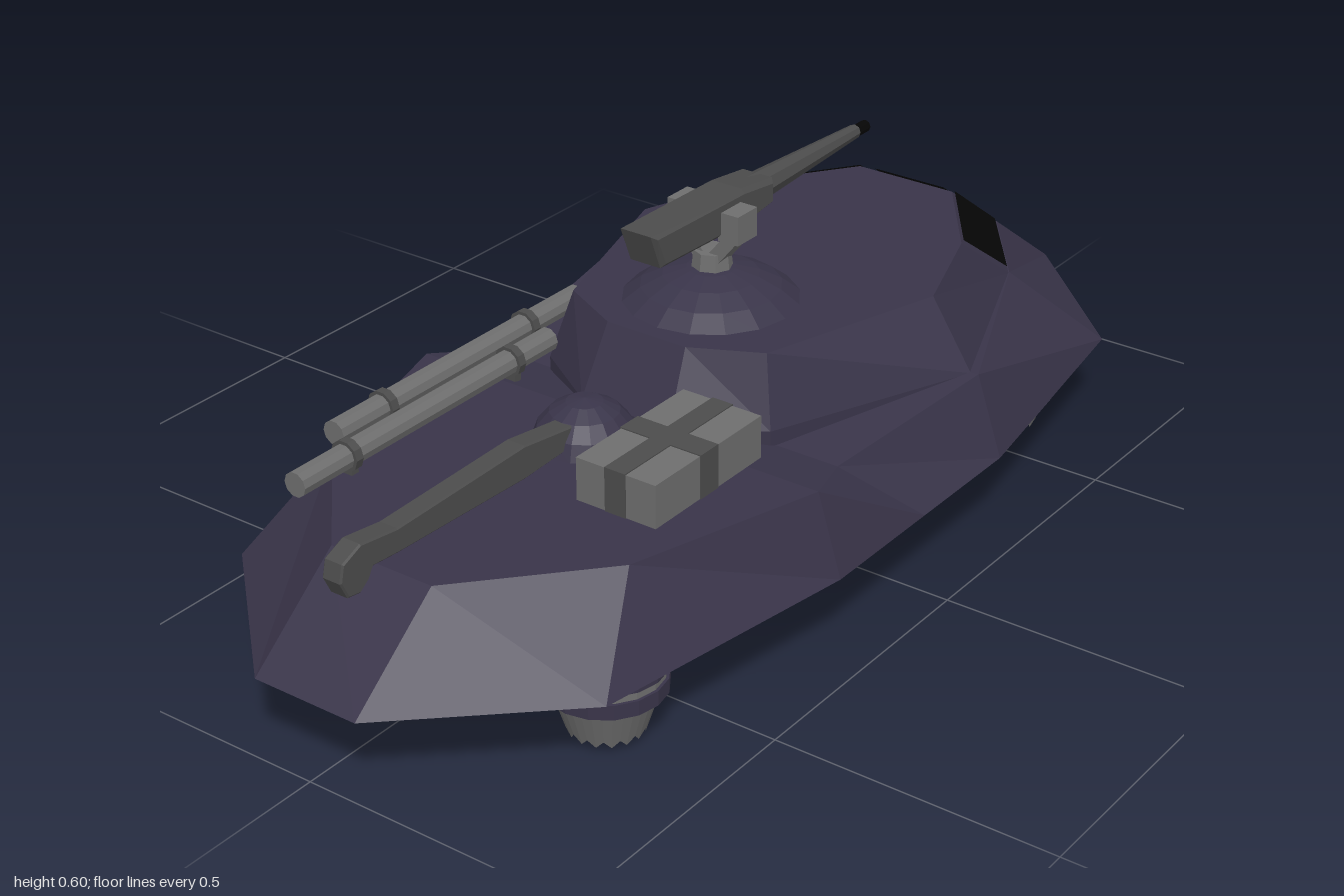
import * as THREE from 'three';

const mat = (color, extra = {}) => new THREE.MeshStandardMaterial({ color, flatShading: true, ...extra });
const PURPLE = mat(0x393449), GREY = mat(0x6e6e6e), DARK = mat(0x4c4c4c), BLACK = mat(0x060606);
const GLASS = mat(0x060606, { side: THREE.DoubleSide });
const OPEN_GREY = mat(0x6e6e6e, { side: THREE.DoubleSide });

function add(parent, name, geometry, material, x = 0, y = 0, z = 0) {
  const mesh = new THREE.Mesh(geometry, material);
  mesh.name = name;
  mesh.position.set(x, y, z);
  parent.add(mesh);
  return mesh;
}

const box = (w, h, d) => new THREE.BoxGeometry(w, h, d);

// Closed skin through rings; each ring is its +z half, from +x to -x
function loft(halves) {
  const pos = [], index = [];
  const n = halves[0].length, m = n * 2;
  for (const half of halves) {
    const mirrored = half.map(([x, y, z]) => [x, y, -z]).reverse();
    for (const p of [...half, ...mirrored]) pos.push(...p);
  }
  for (let r = 0; r < halves.length - 1; r++)
    for (let i = 0; i < m; i++) {
      const a = r * m + i, b = r * m + (i + 1) % m;
      index.push(a, a + m, b + m, a, b + m, b);
    }
  const top = (halves.length - 1) * m;
  for (let i = 0; i < n - 1; i++) {
    const p = i, q = i + 1, mp = m - 1 - i, mq = m - 2 - i;
    index.push(top + p, top + mp, top + mq, top + p, top + mq, top + q);
    index.push(p, mq, mp, p, q, mq);
  }
  const g = new THREE.BufferGeometry();
  g.setAttribute('position', new THREE.Float32BufferAttribute(pos, 3));
  g.setIndex(index);
  g.computeVertexNormals();
  return g;
}

// Flat four-cornered panel
function panel(a, b, c, d) {
  const g = new THREE.BufferGeometry();
  g.setAttribute('position', new THREE.Float32BufferAttribute([...a, ...b, ...c, ...d], 3));
  g.setIndex([0, 1, 2, 0, 2, 3]);
  g.computeVertexNormals();
  return g;
}

// Side profile in x and y, given a thickness along z
function slab(points, depth, bevel) {
  const shape = new THREE.Shape(points.map(([x, y]) => new THREE.Vector2(x, y)));
  const g = new THREE.ExtrudeGeometry(shape, {
    depth: depth - 2 * bevel, bevelEnabled: true, bevelSize: bevel,
    bevelOffset: -bevel, bevelThickness: bevel, bevelSegments: 1,
  });
  return g.translate(0, 0, -depth / 2 + bevel);
}

// Cylinder along x, from x0 to x1
function rod(x0, x1, r0, r1, sides = 8) {
  const g = new THREE.CylinderGeometry(r1, r0, x1 - x0, sides);
  return g.rotateZ(-Math.PI / 2).translate((x0 + x1) / 2, 0, 0);
}

// Cap of a sphere with base radius r and height h, standing on its base
function dome(r, h) {
  const R = (r * r + h * h) / (2 * h);
  return new THREE.SphereGeometry(R, 16, 4, 0, Math.PI * 2, 0, Math.acos((R - h) / R)).translate(0, h - R, 0);
}

// Lift pod: banded collar over a nozzle with a jagged lower rim
function pod(parent, x, z) {
  const g = new THREE.Group();
  g.name = 'liftPod';
  g.position.set(x, 0, z);
  parent.add(g);
  const cyl = (rt, rb, h) => new THREE.CylinderGeometry(rt, rb, h, 16);
  add(g, 'podUpperCollar', cyl(0.1, 0.1, 0.022), PURPLE, 0, 0.136);
  add(g, 'podBand', cyl(0.095, 0.095, 0.018), GREY, 0, 0.117);
  add(g, 'podLowerCollar', cyl(0.1, 0.1, 0.026), PURPLE, 0, 0.097);
  const nozzle = new THREE.CylinderGeometry(0.086, 0.062, 0.076, 32, 1, true);
  const p = nozzle.attributes.position;
  for (let i = 0; i < p.count; i++)
    if (p.getY(i) < 0 && (i % 33) % 2)
      p.setXYZ(i, p.getX(i) * 1.07, p.getY(i) + 0.0137, p.getZ(i) * 1.07);
  add(g, 'podNozzle', nozzle, OPEN_GREY, 0, 0.046);
  add(g, 'podCore', cyl(0.08, 0.062, 0.06), GREY, 0, 0.053);
}

export function createModel() {
  const model = new THREE.Group();
  model.name = 'hoverTank';

  // Upper hull: rim and rear deck
  const rim = [[1, 0.1], [0.74, 0.37], [0.24, 0.45], [0, 0.45], [-0.25, 0.45], [-0.75, 0.37], [-1, 0.1]]
    .map(([x, z]) => [x, 0.145, z]);
  const deck = [[0.8, 0.1], [0.62, 0.235], [0.24, 0.4], [-0.12, 0.355], [-0.25, 0.405], [-0.6, 0.3], [-0.82, 0.1]]
    .map(([x, z]) => [x, x === -0.12 ? 0.26 : 0.29, z]);
  add(model, 'upperHull', loft([rim, deck]), PURPLE);

  // Lower hull, pinched in at both ends to leave bays for the pods
  const bothEnds = (half) => [...half, ...half.slice(0, -1).reverse().map(([x, y, z]) => [-x, y, z])];
  const keel = bothEnds([[0.74, 0.045, 0.07], [0.7, 0.045, 0.08], [0.44, 0.03, 0.15], [0.43, 0.028, 0.23],
    [0.24, 0.01, 0.295], [0, 0, 0.3]]);
  const pinched = bothEnds([[1, 0.145, 0.1], [0.77, 0.145, 0.11], [0.5, 0.145, 0.16], [0.48, 0.145, 0.412],
    [0.24, 0.145, 0.45], [0, 0.145, 0.45]]);
  add(model, 'lowerHull', loft([keel, pinched]), PURPLE);

  // Cabin, its foot sunk into the hull
  const base = [[0.8, 0.1], [0.62, 0.235], [0.24, 0.385], [-0.13, 0.23], [-0.22, 0.09]].map(([x, z]) => [x, 0.288, z]);
  const foot = base.map(([x, , z]) => [x, 0.2, z]);
  const roof = [[0.632, 0.1], [0.45, 0.232], [0.24, 0.305], [-0.1, 0.2], [-0.16, 0.08]].map(([x, z]) => [x, 0.41, z]);
  add(model, 'cabin', loft([foot, base, roof]), PURPLE);

  // Windows
  const e = 0.003;
  add(model, 'frontWindow', panel([0.788, 0.297, 0.075], [0.788, 0.297, -0.075], [0.64, 0.405, -0.075], [0.64, 0.405, 0.075])
    .translate(e, e, 0), GLASS);
  for (const s of [-1, 1])
    add(model, 'sideWindow', panel([0.786, 0.297, 0.1 * s], [0.617, 0.297, 0.227 * s], [0.461, 0.407, 0.225 * s], [0.634, 0.407, 0.1 * s])
      .translate(e, e, e * s), GLASS);

  // Lift pods
  for (const s of [-1, 1]) {
    pod(model, 0.59, 0.25 * s);
    pod(model, -0.63, 0.275 * s);
  }

  // Domes
  add(model, 'turretDome', dome(0.155, 0.061), PURPLE, 0.022, 0.408);
  add(model, 'rearDome', dome(0.09, 0.075), PURPLE, -0.325, 0.288);

  // Gun and its forked mount
  const gun = new THREE.Group();
  gun.name = 'gun';
  gun.position.x = 0.025;
  model.add(gun);
  add(gun, 'mountBase', new THREE.CylinderGeometry(0.032, 0.036, 0.036, 8), GREY, 0, 0.478);
  for (const s of [-1, 1]) {
    const arm = add(gun, 'mountArm', box(0.036, 0.075, 0.024), GREY, 0, 0.511, 0.034 * s);
    arm.rotation.x = 0.68 * s;
    add(gun, 'mountCheek', box(0.055, 0.052, 0.04), GREY, 0, 0.555, 0.052 * s);
  }
  add(gun, 'gunBody', slab([[-0.21, 0.602], [-0.185, 0.538], [0.05, 0.531], [0.13, 0.542], [0.13, 0.588], [0.04, 0.599]], 0.076, 0.008), DARK);
  add(gun, 'gunBarrel', rod(0.1, 0.43, 0.028, 0.013), DARK, 0, 0.564);
  add(gun, 'gunMuzzle', rod(0.425, 0.465, 0.011, 0.011), BLACK, 0, 0.563);

  // Folded arm with hooked end
  add(model, 'rearArm', slab([[-0.34, 0.305], [-0.34, 0.335], [-0.5, 0.358], [-0.8, 0.351], [-0.88, 0.362], [-0.92, 0.345],
    [-0.927, 0.315], [-0.912, 0.284], [-0.885, 0.28], [-0.865, 0.295], [-0.855, 0.312], [-0.8, 0.308], [-0.5, 0.298]], 0.038, 0.003), DARK);

  // Strapped cargo box
  add(model, 'cargoBox', box(0.28, 0.076, 0.154), GREY, -0.353, 0.328, 0.192);
  add(model, 'crossStrap', box(0.046, 0.08, 0.158), DARK, -0.355, 0.328, 0.192);
  add(model, 'longStrap', box(0.284, 0.08, 0.04), DARK, -0.353, 0.328, 0.192);

  // Stowed tubes with clamps
  for (const [x0, x1, z, clamps] of [[-0.595, 0.03, -0.3, [-0.475, -0.11]], [-0.755, -0.13, -0.234, [-0.635, -0.23]]]) {
    add(model, 'stowedTube', rod(x0, x1, 0.022, 0.022, 10), GREY, 0, 0.32, z);
    for (const x of clamps) {
      add(model, 'tubeClamp', rod(x - 0.008, x + 0.008, 0.028, 0.028, 10), DARK, 0, 0.32, z);
      add(model, 'clampFoot', box(0.016, 0.03, 0.03), DARK, x, 0.3, z);
    }
  }
  return model;
}
